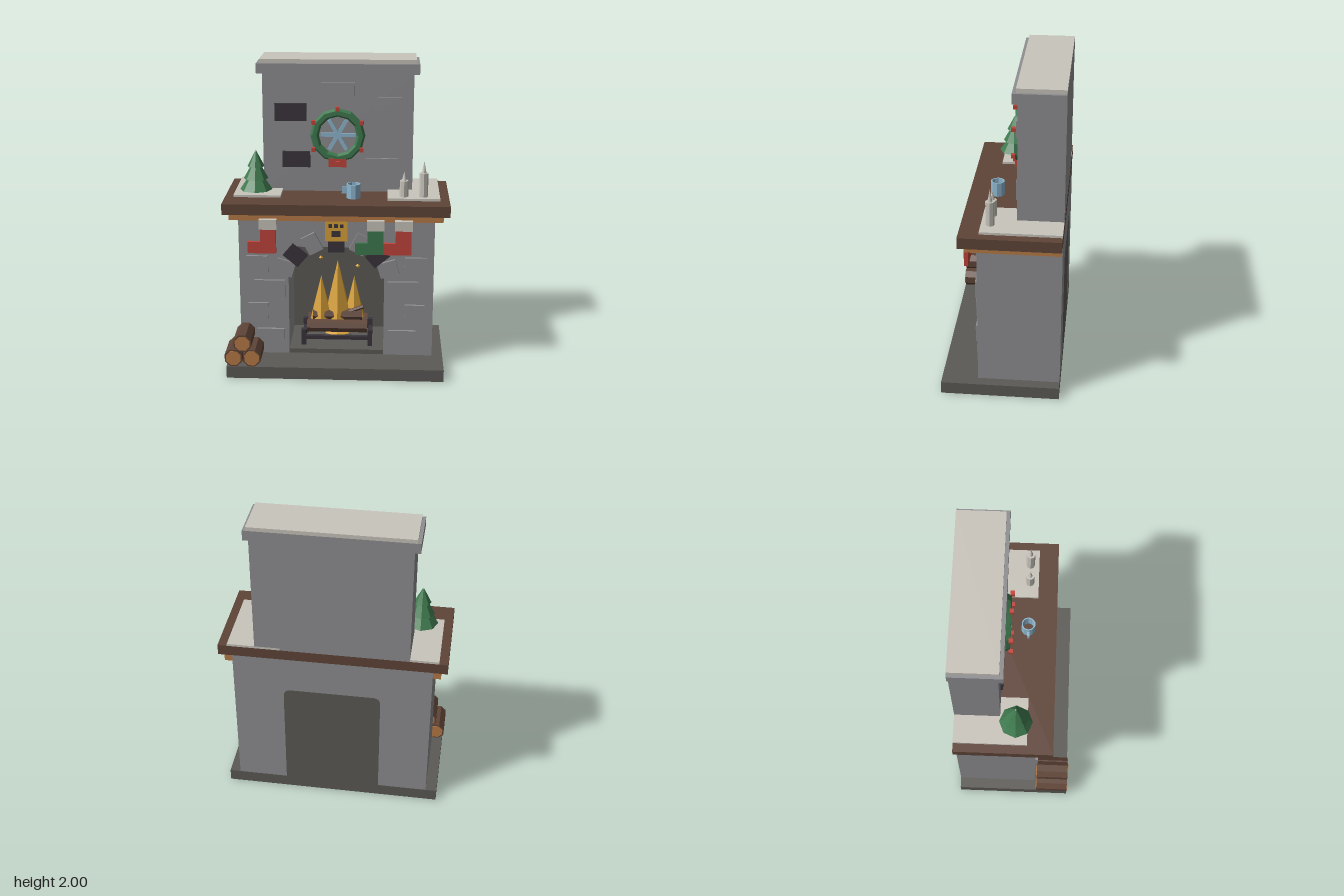
import * as THREE from 'three';

const mat = (name, color) => {
  const m = new THREE.MeshStandardMaterial({ color });
  m.name = name;
  return m;
};

export function createModel() {
  const root = new THREE.Group();
  const stone = mat('grey stone', 0x8f8f92), slate = mat('dark hearth stone', 0x5c5a56);
  const charcoal = mat('charcoal', 0x3b343c), wood = mat('brown wood', 0x5f4437);
  const tan = mat('cut wood', 0xb87b45), cream = mat('snow cream', 0xc9c5bc);
  const green = mat('green', 0x3f7a4f), red = mat('red', 0xc0443a);
  const blue = mat('ice blue', 0x8fb8d0), gold = mat('gold', 0xd9a23a);
  blue.side = THREE.DoubleSide;

  // Faceted mesh with flat normals
  function add(name, geo, material, x = 0, y = 0, z = 0, rz = 0) {
    const g = geo.index ? geo.toNonIndexed() : geo;
    g.computeVertexNormals();
    const m = new THREE.Mesh(g, material);
    m.name = name;
    m.position.set(x, y, z);
    m.rotation.z = rz;
    root.add(m);
    return m;
  }
  // Box given by its limits on each axis
  const span = (name, material, x0, x1, y0, y1, z0, z1) =>
    add(name, new THREE.BoxGeometry(x1 - x0, y1 - y0, z1 - z0), material, (x0 + x1) / 2, (y0 + y1) / 2, (z0 + z1) / 2);
  // Upright cylinder or cone standing on y
  const post = (name, material, x, y, z, r0, r1, h, n = 8) =>
    add(name, new THREE.CylinderGeometry(r1, r0, h, n), material, x, y + h / 2, z);
  const slab = (shape, depth) => new THREE.ExtrudeGeometry(shape, { depth, bevelEnabled: false, curveSegments: 6 });

  // Hearth, body with firebox opening, back panel
  span('hearthBase', slate, -0.7, 0.7, 0, 0.08, -0.375, 0.375);
  const W = 0.31, T = 0.825, R = 0.05;
  const opening = s => {
    s.lineTo(-W, T - R);
    s.quadraticCurveTo(-W, T, -W + R, T);
    s.lineTo(W - R, T);
    s.quadraticCurveTo(W, T, W, T - R);
    s.lineTo(W, 0.08);
  };
  const body = new THREE.Shape();
  body.moveTo(-0.63, 0.08);
  body.lineTo(-W, 0.08);
  opening(body);
  body.lineTo(0.63, 0.08);
  body.lineTo(0.63, 1.066);
  body.lineTo(-0.63, 1.066);
  add('fireplaceBody', slab(body, 0.52), stone, 0, 0, -0.375);
  const panel = new THREE.Shape();
  panel.moveTo(-W, 0.08);
  opening(panel);
  add('fireboxBack', slab(panel, 0.12), slate, 0, 0, -0.375);
  span('fireboxFloor', slate, -W, W, 0.08, 0.11, -0.255, 0.14);

  // Mantel, chimney and caps
  span('mantelTrim', tan, -0.68, 0.68, 1.02, 1.066, -0.372, 0.215);
  span('mantelShelf', wood, -0.72, 0.72, 1.065, 1.135, -0.375, 0.25);
  span('chimney', stone, -0.485, 0.485, 1.135, 1.91, -0.375, -0.088);
  span('chimneyCap', stone, -0.52, 0.52, 1.91, 1.975, -0.375, -0.057);
  span('chimneySnow', cream, -0.5, 0.5, 1.975, 2, -0.375, -0.08);
  span('leftShelfSnow', cream, -0.665, -0.36, 1.135, 1.15, -0.375, 0.085);
  span('rightShelfSnow', cream, 0.325, 0.66, 1.135, 1.15, -0.375, 0.125);

  // Raised bricks: x, y, width, height
  [[0, 1.81, 0.215, 0.09, stone], [-0.305, 1.66, 0.205, 0.115, charcoal], [0.32, 1.71, 0.175, 0.105, stone],
    [-0.27, 1.35, 0.18, 0.105, charcoal], [0.285, 1.3, 0.21, 0.12, stone]].forEach(([x, y, w, h, m]) =>
    add('chimneyBrick', new THREE.BoxGeometry(w, h, 0.03), m, x, y, -0.088));
  for (const s of [-1, 1]) {
    [[0.512, 0.705, 0.14], [0.433, 0.54, 0.2], [0.51, 0.38, 0.13], [0.43, 0.2, 0.18]].forEach(([x, y, w]) =>
      add('bodyBrick', new THREE.BoxGeometry(w, 0.115, 0.03), stone, s * x, y, 0.148));
    // Arch stones, turned along the arch
    [[0.155, 0.85, 28, stone], [0.265, 0.77, 50, charcoal], [0.335, 0.685, 73, stone]].forEach(([x, y, a, m]) =>
      add('archStone', new THREE.BoxGeometry(0.1, 0.125, 0.03), m, s * x, y, 0.149, -s * a * Math.PI / 180));
  }
  span('keystone', charcoal, -0.053, 0.053, 0.795, 0.915, 0.134, 0.162);

  // Gold lantern box with dark openings
  span('lanternBox', gold, -0.07, 0.072, 0.875, 1.02, 0.14, 0.175);
  for (const x of [-0.037, 0, 0.037]) span('lanternOpening', charcoal, x - 0.012, x + 0.012, 0.966, 0.99, 0.174, 0.18);
  span('lanternDoor', charcoal, -0.03, 0.03, 0.905, 0.945, 0.174, 0.18);

  // Stockings, toes toward -x
  [[-0.43, red], [0.253, green], [0.43, red]].forEach(([x, m]) => {
    const s = new THREE.Shape([[0.05, 0.81], [0.05, 0.99], [-0.05, 0.99], [-0.05, 0.885], [-0.13, 0.885], [-0.13, 0.81]]
      .reverse().map(p => new THREE.Vector2(...p)));
    add('stocking', slab(s, 0.026), m, x, 0, 0.217);
    span('stockingCuff', cream, x - 0.056, x + 0.056, 0.97, 1.035, 0.211, 0.249);
  });

  // Wreath with berries, bow and snowflake
  const wy = 1.515;
  add('wreath', new THREE.TorusGeometry(0.15, 0.028, 6, 12), green, 0, wy, -0.063);
  for (let i = 0; i < 6; i++) {
    const a = Math.PI / 6 + i * Math.PI / 3;
    add('berry', new THREE.BoxGeometry(0.026, 0.026, 0.026), red, 0.178 * Math.cos(a), wy + 0.178 * Math.sin(a), -0.033);
  }
  span('wreathBow', red, -0.058, 0.058, 1.31, 1.365, -0.07, -0.035);
  for (let i = 0; i < 3; i++)
    add('snowflakeArm', new THREE.BoxGeometry(0.225, 0.024, 0.015), blue, 0, wy, -0.075, i * Math.PI / 3);

  // Small tree
  const tx = -0.523, tz = 0.012;
  post('treeTrunk', wood, tx, 1.145, tz, 0.015, 0.015, 0.05, 6);
  [[1.172, 0.105, 0.15], [1.245, 0.08, 0.135], [1.325, 0.055, 0.1]].forEach(([y, r, h]) =>
    post('treeTier', green, tx, y, tz, r, 0.004, h));
  post('treeTip', cream, tx, 1.39, tz, 0.019, 0, 0.045);

  // Candles
  [[0.43, 0.105, 0.06], [0.555, 0.155, 0.08]].forEach(([x, h, f]) => {
    post('candle', cream, x, 1.15, 0.068, 0.028, 0.028, h);
    post('candleFlame', cream, x, 1.15 + h, 0.068, 0.015, 0, f);
  });

  // Open mug with square handle
  const cup = [[0, 0.005], [0.045, 0.002], [0.045, 0.095], [0.037, 0.095], [0.037, 0.012]];
  const mug = add('mug', new THREE.LatheGeometry(cup.slice(1).map(p => new THREE.Vector2(...p)), 10), blue, 0.107, 1.135, 0.068);
  mug.rotation.y = Math.PI / 10;
  span('mugHandle', blue, 0.032, 0.068, 1.165, 1.208, 0.06, 0.076);

  // Fire grate
  for (const z of [0.06, -0.14]) {
    span('grateBar', charcoal, -0.235, 0.235, 0.15, 0.175, z - 0.013, z + 0.013);
    for (const x of [-0.22, 0.22]) span('grateLeg', charcoal, x - 0.016, x + 0.016, 0.11, 0.22, z - 0.016, z + 0.016);
  }
  for (const x of [-0.22, 0.22]) span('grateRail', charcoal, x - 0.012, x + 0.012, 0.15, 0.175, -0.14, 0.06);

  // Burning logs
  [[0.23, 0.025, 0.4, 0.045], [0.23, -0.1, 0.4, 0.045], [0.285, -0.04, 0.33, 0.042]].forEach(([y, z, len, r]) =>
    add('fireLog', new THREE.CylinderGeometry(r, r, len, 8), wood, 0, y, z, Math.PI / 2));
  add('fireTwig', new THREE.CylinderGeometry(0.014, 0.014, 0.16, 6), wood, 0.1, 0.32, -0.03, -1.2);

  // Flames, embers and sparks
  [[0, 0.66, 0.1, -0.08], [-0.11, 0.555, 0.08, -0.06], [0.11, 0.545, 0.075, -0.09]].forEach(([x, top, r, z]) =>
    post('flame', gold, x, 0.26, z, r, 0, top - 0.26, 6));
  add('embers', new THREE.ConeGeometry(0.09, 0.04, 6), gold, 0, 0.19, -0.03);
  [[-0.11, 0.685], [-0.015, 0.737], [0.135, 0.63]].forEach(([x, y]) =>
    add('spark', new THREE.OctahedronGeometry(0.016), gold, x, y, -0.05));

  // Stacked firewood with pale cut ends
  [[-0.653, 0.139], [-0.535, 0.139], [-0.594, 0.24]].forEach(([x, y]) => {
    const log = (name, r, z0, z1, m) => {
      const g = new THREE.CylinderGeometry(r, r, z1 - z0, 8);
      g.rotateY(Math.PI / 8);
      g.rotateX(Math.PI / 2);
      add(name, g, m, x, y, (z0 + z1) / 2);
    };
    log('firewood', 0.061, 0.16, 0.373, wood);
    log('firewoodFrontEnd', 0.051, 0.37, 0.377, tan);
    log('firewoodBackEnd', 0.051, 0.156, 0.163, tan);
  });
  return root;
}
